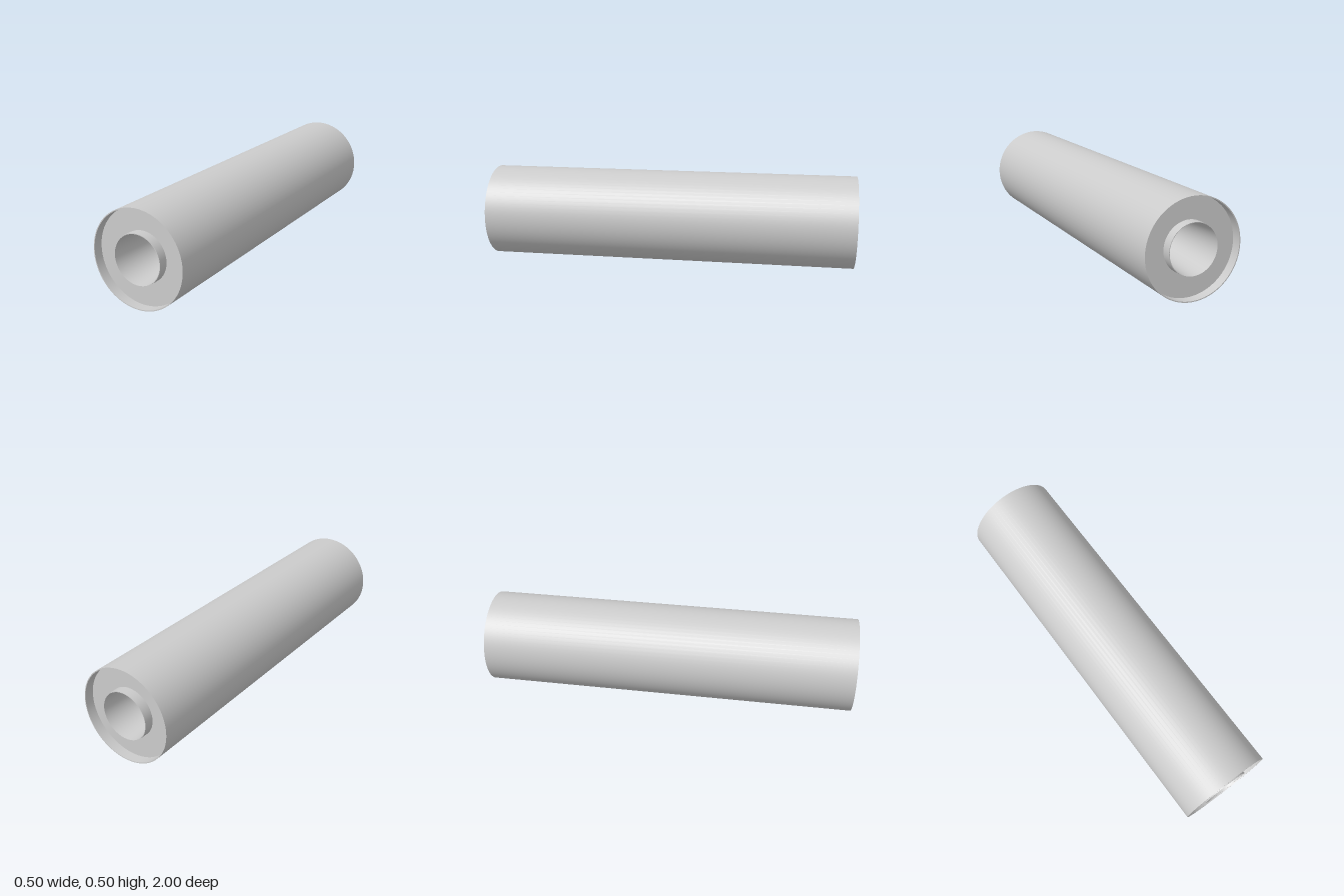
import * as THREE from 'three';
import { mergeGeometries } from 'three/addons/utils/BufferGeometryUtils.js';

const R = 0.249;      // outer radius
const WALL = 0.244;   // inside of the casing lip
const PIPE = 0.128;   // outside of the inner pipe
const MOUTH = 0.125;  // bore radius at the ends
const MID = 0.077;    // bore radius where the taper steepens
const THROAT = 0.039; // bore radius at the centre
const FACE = 0.95;    // depth of the recessed end faces

// Turned part along z; each [radius, z] segment keeps sharp edges
function turned(name, points, material, segments = 72) {
  const strips = [];
  for (let i = 0; i < points.length - 1; i++) {
    const pair = [points[i], points[i + 1]].map(([r, z]) => new THREE.Vector2(r, z));
    strips.push(new THREE.LatheGeometry(pair, segments));
  }
  const geometry = mergeGeometries(strips);
  geometry.rotateX(Math.PI / 2);
  // the rotation sends the profile's y axis to +z
  const mesh = new THREE.Mesh(geometry, material);
  mesh.name = name;
  return mesh;
}

export function createModel() {
  const material = new THREE.MeshStandardMaterial({ color: 0xcccccc, side: THREE.DoubleSide });
  const model = new THREE.Group();
  model.name = 'hollowCylinder';

  // Thin outer casing with a lip at both ends
  model.add(turned('casing', [
    [WALL, -FACE], [WALL, -1], [R, -1], [R, 1], [WALL, 1], [WALL, FACE],
  ], material));

  // Recessed ring faces and the pipe collars standing out of them
  model.add(turned('frontFace', [[WALL, FACE], [PIPE, FACE]], material));
  model.add(turned('backFace', [[PIPE, -FACE], [WALL, -FACE]], material));
  model.add(turned('frontCollar', [[PIPE, FACE], [PIPE, 1], [MOUTH, 1]], material));
  model.add(turned('backCollar', [[MOUTH, -1], [PIPE, -1], [PIPE, -FACE]], material));

  // Through bore, narrowing from both mouths to the throat
  model.add(turned('bore', [
    [MOUTH, 1], [MID, 0.35], [THROAT, 0], [MID, -0.35], [MOUTH, -1],
  ], material));

  model.position.y = R;
  const root = new THREE.Group();
  root.add(model);
  return root;
}
